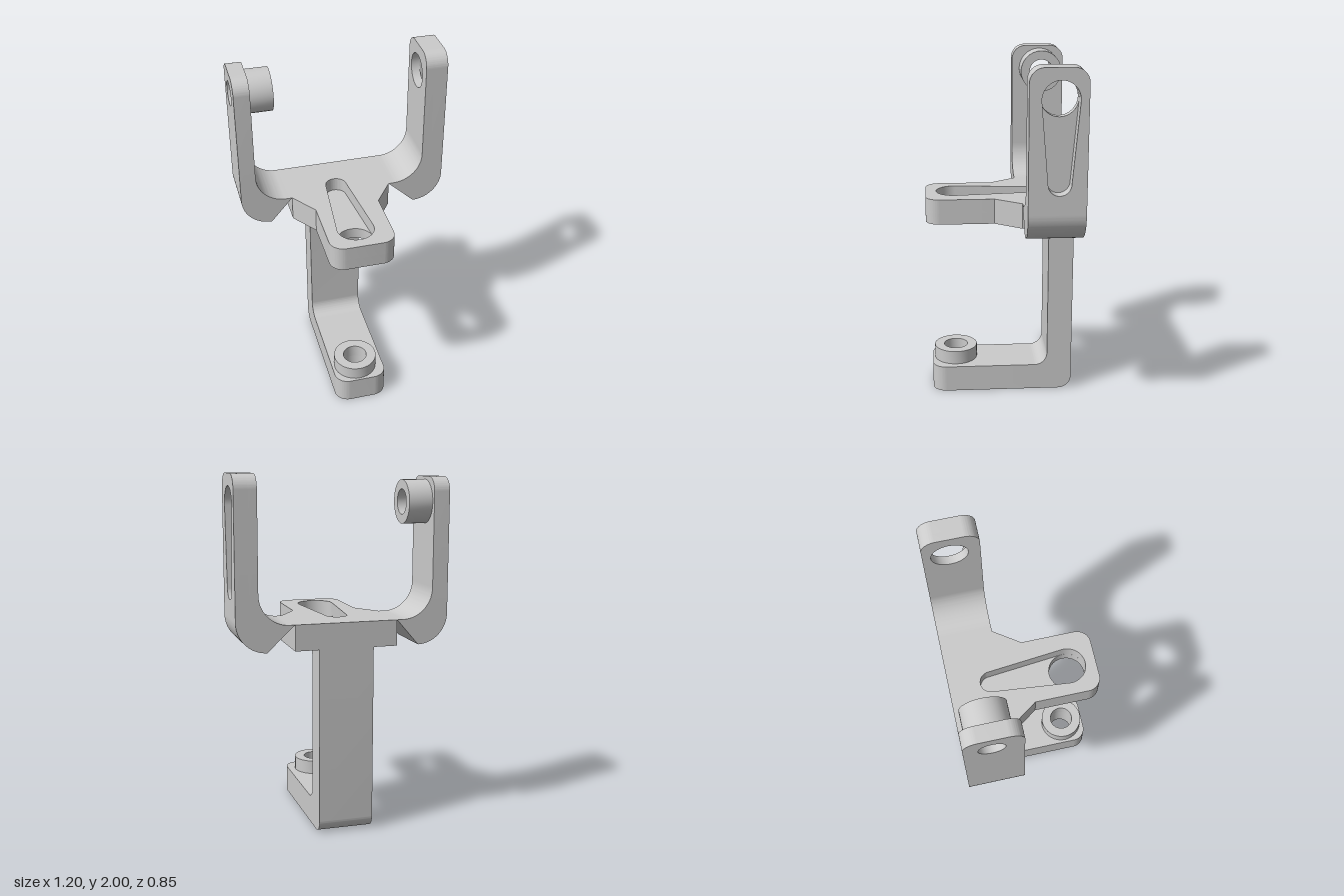
import * as THREE from 'three';
import { toCreasedNormals } from 'three/addons/utils/BufferGeometryUtils.js';

const PI = Math.PI;
const material = new THREE.MeshStandardMaterial({ color: 0xcccccc });

// Extrudes a shape from `start` along an axis.
// 'x': shape is drawn in (-z, y); 'y': in (x, -z); 'z': in (x, y).
function extrude(name, shape, axis, start, end) {
  let geo = new THREE.ExtrudeGeometry(shape, { depth: end - start, bevelEnabled: false, curveSegments: 16 });
  geo.translate(0, 0, start);
  if (axis === 'x') geo.rotateY(PI / 2);
  if (axis === 'y') geo.rotateX(-PI / 2);
  geo = toCreasedNormals(geo, PI / 6);
  const mesh = new THREE.Mesh(geo, material);
  mesh.name = name;
  return mesh;
}

const circle = (P, x, y, r) => new P().absarc(x, y, r, 0, PI * 2, false);

function ring(x, y, outer, inner) {
  const s = circle(THREE.Shape, x, y, outer);
  s.holes.push(circle(THREE.Path, x, y, inner));
  return s;
}

// Tapered slot: large circle R at (x, y), small circle r at distance d along angle dir
function taperedSlot(x, y, R, r, d, dir) {
  const phi = Math.acos((R - r) / d);
  const p = new THREE.Path();
  p.absarc(x, y, R, dir + phi, dir - phi + PI * 2, false);
  p.absarc(x + d * Math.cos(dir), y + d * Math.sin(dir), r, dir - phi, dir + phi, false);
  p.closePath();
  return p;
}

// Upright arm panel with rounded top corners
function armShape(top, hole) {
  const a = 0.115, b = 0.425, r = 0.08;
  const s = new THREE.Shape();
  s.moveTo(a, 1.225);
  s.lineTo(b, 1.225);
  s.lineTo(b, top - r);
  s.absarc(b - r, top - r, r, 0, PI / 2, false);
  s.lineTo(a + r, top);
  s.absarc(a + r, top - r, r, PI / 2, PI, false);
  s.closePath();
  s.holes.push(hole);
  return s;
}

// Central plate outline: wide at the back, tapering to a rounded tongue
function plateShape(hole) {
  const s = new THREE.Shape(), r = 0.08;
  s.moveTo(-0.305, 0.425);
  s.lineTo(-0.305, 0.115);
  s.lineTo(-0.2, -0.035);
  s.lineTo(-0.2, -0.425 + r);
  s.absarc(-0.2 + r, -0.425 + r, r, PI, PI * 1.5, false);
  s.lineTo(0.17 - r, -0.425);
  s.absarc(0.17 - r, -0.425 + r, r, PI * 1.5, PI * 2, false);
  s.lineTo(0.17, -0.035);
  s.lineTo(0.275, 0.115);
  s.lineTo(0.275, 0.425);
  s.closePath();
  s.holes.push(hole);
  return s;
}

// Rounded elbow joining the plate to an arm; side is +1 or -1
function elbowShape(side, plateX, innerX) {
  const r = 0.17, s = new THREE.Shape();
  const mirror = side < 0;
  const from = (a) => (mirror ? PI - a : a);
  s.moveTo(side * plateX, 1.055);
  s.absarc(side * (0.6 - r), 1.055 + r, r, from(-PI / 2), from(0), mirror);
  s.lineTo(side * innerX, 1.225);
  s.lineTo(side * innerX, 1.2 + r);
  s.absarc(side * (innerX - r), 1.2 + r, r, from(0), from(-PI / 2), !mirror);
  s.lineTo(side * plateX, 1.2);
  s.closePath();
  return s;
}

// Back post with its bottom bend and filleted top
function postShape() {
  const r = 0.075, s = new THREE.Shape();
  s.moveTo(0.2, 0);
  s.lineTo(0.425 - r, 0);
  s.absarc(0.425 - r, r, r, -PI / 2, 0, false);
  s.lineTo(0.425, 1.055);
  s.lineTo(0.28 - r, 1.055);
  s.absarc(0.28 - r, 1.055 - r, r, PI / 2, 0, true);
  s.lineTo(0.28, 0.155 + r);
  s.absarc(0.28 - r, 0.155 + r, r, 0, -PI / 2, true);
  s.lineTo(0.2, 0.155);
  s.closePath();
  return s;
}

// Foot plate with rounded front corners and a bore
function footShape() {
  const r = 0.08, s = new THREE.Shape();
  s.moveTo(-0.17, 0.2);
  s.lineTo(-0.17, -0.4 + r);
  s.absarc(-0.17 + r, -0.4 + r, r, PI, PI * 1.5, false);
  s.lineTo(0.14 - r, -0.4);
  s.absarc(0.14 - r, -0.4 + r, r, PI * 1.5, PI * 2, false);
  s.lineTo(0.14, 0.2);
  s.closePath();
  s.holes.push(circle(THREE.Path, -0.027, -0.26, 0.07));
  return s;
}

export function createModel() {
  const model = new THREE.Group();
  model.name = 'bracket';

  // Central plate: bored lower layer, slotted upper layer
  model.add(
    extrude('plateLower', plateShape(circle(THREE.Path, -0.027, -0.26, 0.104)), 'y', 1.055, 1.12),
    extrude('plateUpper', plateShape(taperedSlot(-0.027, -0.26, 0.104, 0.06, 0.445, PI / 2)), 'y', 1.12, 1.2),
  );

  // Elbows
  model.add(
    extrude('leftElbow', elbowShape(1, 0.275, 0.475), 'z', -0.425, -0.115),
    extrude('rightElbow', elbowShape(-1, 0.305, 0.51), 'z', -0.425, -0.115),
  );

  // Left arm: bored inner layer, slotted outer layer
  model.add(
    extrude('leftArmInner', armShape(2, circle(THREE.Path, 0.28, 1.835, 0.1)), 'x', 0.475, 0.525),
    extrude('leftArmOuter', armShape(2, taperedSlot(0.28, 1.835, 0.1, 0.062, 0.443, -PI / 2)), 'x', 0.525, 0.6),
  );

  // Right arm with its bored boss
  model.add(
    extrude('rightArm', armShape(1.975, circle(THREE.Path, 0.28, 1.837, 0.07)), 'x', -0.6, -0.51),
    extrude('armBoss', ring(0.28, 1.837, 0.122, 0.07), 'x', -0.51, -0.375),
  );

  // Back post, foot and foot boss
  model.add(
    extrude('backPost', postShape(), 'x', -0.17, 0.14),
    extrude('foot', footShape(), 'y', 0, 0.155),
    extrude('footBoss', ring(-0.027, -0.26, 0.127, 0.07), 'y', 0.155, 0.235),
  );

  return model;
}
